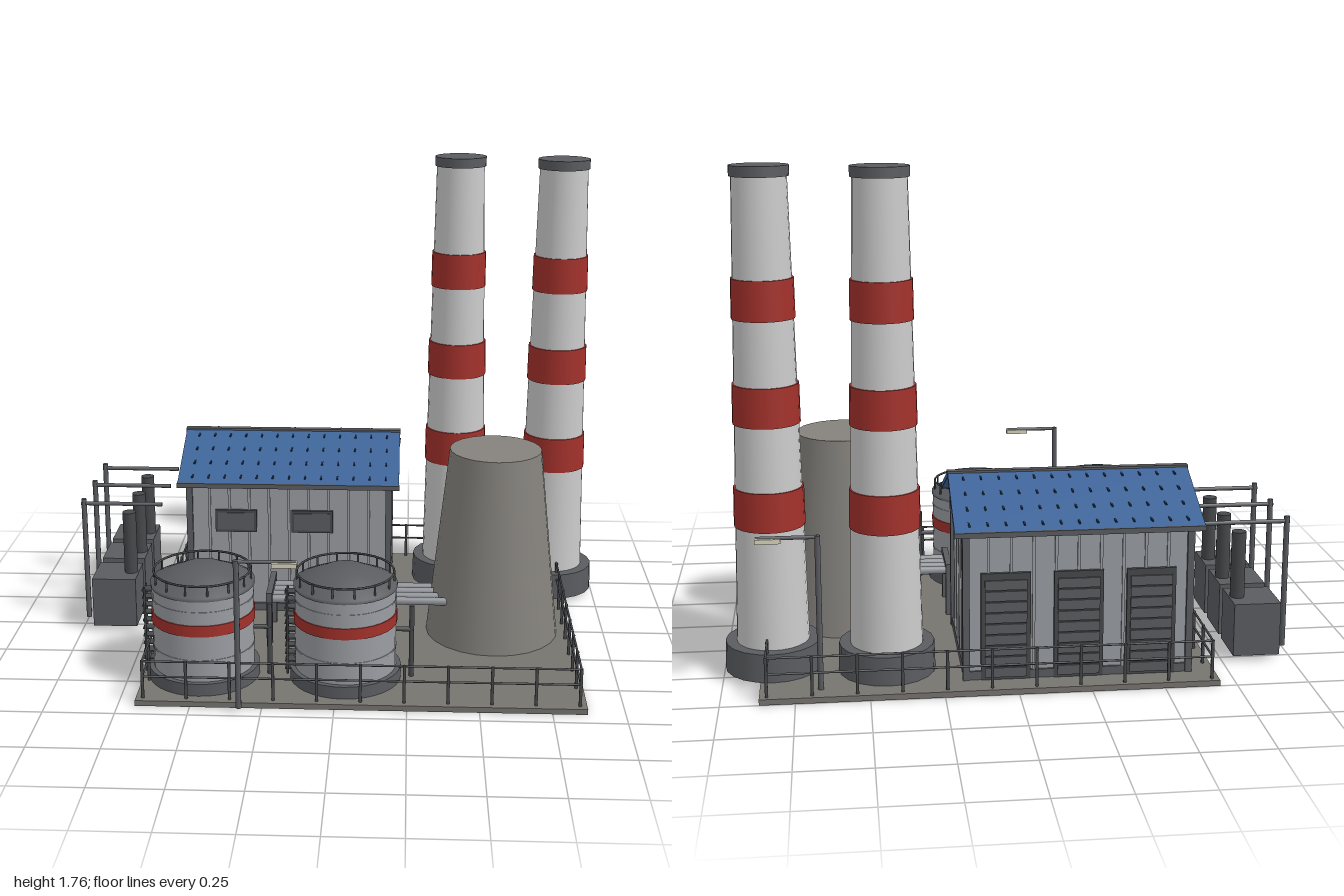
import * as THREE from 'three';

const mat = (color, flatShading = false) => new THREE.MeshStandardMaterial({ color, flatShading });
const M = {
  light: mat(0xcccccc), wall: mat(0x9a9da2), concrete: mat(0x85827d), slab: mat(0x77746f),
  dark: mat(0x5a5c60), steel: mat(0x46484b), pipe: mat(0x8d9096), red: mat(0xa3312b),
  blue: mat(0x3d6499), seam: mat(0x22364f), lamp: mat(0xd8d4bc),
};
M.open = mat(0x5a5c60);
M.open.side = THREE.DoubleSide;

export function createModel() {
  const model = new THREE.Group();
  let parent = model;

  function add(name, geometry, material, x = 0, y = 0, z = 0) {
    const m = new THREE.Mesh(geometry, material);
    m.name = name;
    m.position.set(x, y, z);
    parent.add(m);
    return m;
  }
  // Box given by its limits on each axis
  const box = (name, material, x0, x1, y0, y1, z0, z1) =>
    add(name, new THREE.BoxGeometry(x1 - x0, y1 - y0, z1 - z0), material, (x0 + x1) / 2, (y0 + y1) / 2, (z0 + z1) / 2);
  // Upright cylinder or cone frustum from y0 to y1
  const column = (name, material, x, z, y0, y1, r0, r1 = r0, sides = 24) =>
    add(name, new THREE.CylinderGeometry(r1, r0, y1 - y0, sides), material, x, (y0 + y1) / 2, z);
  // Round bar between two points
  function bar(name, material, a, b, r) {
    const A = new THREE.Vector3(...a), B = new THREE.Vector3(...b), d = B.clone().sub(A);
    const m = add(name, new THREE.CylinderGeometry(r, r, d.length(), 8), material);
    m.position.copy(A).add(B).multiplyScalar(0.5);
    m.quaternion.setFromUnitVectors(new THREE.Vector3(0, 1, 0), d.normalize());
    return m;
  }
  function group(name, x, z, build) {
    const g = new THREE.Group();
    g.name = name;
    g.position.set(x, 0, z);
    model.add(g);
    parent = g;
    build();
    parent = model;
  }

  // Ground slab
  box('groundSlab', M.slab, -0.69, 0.87, 0, 0.02, -0.75, 0.69);

  // Perimeter railing
  group('perimeterRailing', 0, 0, () => {
    const x0 = -0.665, x1 = 0.845, z0 = -0.73, z1 = 0.665, n = 10;
    for (const y of [0.1, 0.157]) {
      for (const z of [z0, z1]) bar('rail', M.steel, [x0, y, z], [x1, y, z], 0.004);
      for (const x of [x0, x1]) bar('rail', M.steel, [x, y, z0], [x, y, z1], 0.004);
    }
    for (let i = 0; i <= n; i++) {
      const x = x0 + (x1 - x0) * i / n, z = z0 + (z1 - z0) * i / n;
      for (const e of [z0, z1]) column('railPost', M.steel, x, e, 0.02, 0.16, 0.006, 0.006, 6);
      if (i > 0 && i < n) for (const e of [x0, x1]) column('railPost', M.steel, e, z, 0.02, 0.16, 0.006, 0.006, 6);
    }
  });

  // Striped chimneys
  for (const [x, z] of [[0.436, -0.513], [0.828, -0.444]]) group('chimney', x, z, () => {
    column('chimneyBase', M.dark, 0, 0, 0.02, 0.12, 0.168, 0.165, 20);
    column('chimneyShaft', M.light, 0, 0, 0.12, 1.722, 0.126, 0.092);
    for (const [y, r] of [[0.535, 0.122], [0.893, 0.115], [1.25, 0.107]])
      column('redBand', M.red, 0, 0, y, y + 0.136, r, r - 0.002);
    column('chimneyCap', M.dark, 0, 0, 1.72, 1.756, 0.099);
  });

  // Cooling tower
  column('coolingTower', M.concrete, 0.57, 0.027, 0.02, 0.742, 0.249, 0.17, 24);

  // Storage tanks
  for (const x of [-0.476, 0.03]) group('storageTank', x, 0.45, () => {
    column('tankFoot', M.dark, 0, 0, 0.02, 0.065, 0.198, 0.198, 32);
    column('tankBody', M.wall, 0, 0, 0.065, 0.375, 0.18, 0.18, 32);
    column('tankBand', M.red, 0, 0, 0.235, 0.276, 0.184, 0.184, 32);
    for (const y of [0.14, 0.32]) column('tankHoop', M.wall, 0, 0, y, y + 0.006, 0.182, 0.182, 32);
    const roof = [[0.184, 0.365], [0.184, 0.378], [0.075, 0.428], [0, 0.43]];
    add('tankRoof', new THREE.LatheGeometry(roof.map(p => new THREE.Vector2(...p)), 32), M.open);
    const ring = add('roofRail', new THREE.TorusGeometry(0.172, 0.004, 6, 32), M.steel, 0, 0.418, 0);
    ring.rotation.x = Math.PI / 2;
    for (let i = 0; i < 14; i++) {
      const a = i / 14 * Math.PI * 2;
      column('roofRailPost', M.steel, 0.172 * Math.cos(a), 0.172 * Math.sin(a), 0.37, 0.42, 0.004, 0.004, 6);
    }
    // Ladder on the right, standpipe on the left
    for (const z of [-0.02, 0.02]) bar('ladderRail', M.steel, [-0.206, 0.03, z], [-0.206, 0.35, z], 0.004);
    for (let i = 0; i < 11; i++) box('ladderRung', M.steel, -0.215, -0.178, 0.045 + i * 0.029, 0.05 + i * 0.029, -0.02, 0.02);
    column('standPipe', M.steel, 0.235, 0, 0.02, 0.29, 0.009, 0.009, 8);
    bar('pipeBranch', M.steel, [0.17, 0.2, 0], [0.24, 0.2, 0], 0.009);
  });

  // Turbine hall
  group('hall', -0.213, -0.385, () => {
    const hw = 0.385, hd = 0.265, eave = 0.55, ridge = 0.68, rd = 0.305;
    const gable = new THREE.Shape([[-hd, 0.02], [hd, 0.02], [hd, eave], [0, ridge - 0.025], [-hd, eave]]
      .map(p => new THREE.Vector2(...p)));
    const walls = add('hallWalls', new THREE.ExtrudeGeometry(gable, { depth: 2 * hw, bevelEnabled: false }), M.wall, -hw);
    walls.rotation.y = Math.PI / 2;
    box('hallPlinth', M.dark, -hw - 0.008, hw + 0.008, 0.02, 0.05, -hd - 0.008, hd + 0.008);
    // Wall ribs and corner posts
    for (const s of [-1, 1]) {
      for (let i = 0; i <= 10; i++) {
        const x = -hw + i * hw / 5, z = -hd + i * hd / 5;
        box('wallRib', M.wall, x - 0.005, x + 0.005, 0.05, eave, s * hd - 0.006, s * hd + 0.006);
        if (i % 2 === 0) box('wallRib', M.wall, s * hw - 0.006, s * hw + 0.006, 0.05, eave, z - 0.005, z + 0.005);
      }
      for (const t of [-1, 1]) box('cornerPost', M.dark, s * hw - 0.012, s * hw + 0.012, 0.02, eave, t * hd - 0.012, t * hd + 0.012);
    }
    // Pitched roof with seams, gutters and ridge cap
    const angle = Math.atan2(ridge - eave, rd), len = Math.hypot(ridge - eave, rd);
    for (const s of [-1, 1]) {
      const panel = add('roofPanel', new THREE.BoxGeometry(0.85, 0.018, len), M.blue, 0, (ridge + eave) / 2 - 0.004, s * rd / 2);
      panel.rotation.x = s * angle;
      box('gutter', M.dark, -0.427, 0.427, eave - 0.012, eave + 0.006, s * rd - 0.01, s * rd + 0.01);
      for (let i = 0; i < 13; i++) for (let j = 0; j < 4; j++) {
        const x = -0.37 + i * 0.062, t = 0.14 + j * 0.25;
        const z = s * rd * t, y = ridge + (eave - ridge) * t + 0.009;
        box('roofSeam', M.seam, x - 0.003, x + 0.003, y - 0.003, y + 0.003, z - 0.02, z + 0.02);
      }
    }
    box('ridgeCap', M.dark, -0.427, 0.427, ridge - 0.008, ridge + 0.008, -0.013, 0.013);
    // Front windows
    for (const x of [-0.205, 0.09]) {
      box('windowFrame', M.steel, x - 0.08, x + 0.08, 0.348, 0.437, hd, hd + 0.012);
      box('windowPane', M.dark, x - 0.07, x + 0.07, 0.358, 0.427, hd, hd + 0.015);
    }
    // Rear roller doors
    for (const x of [-0.25, 0, 0.25]) {
      box('doorFrame', M.steel, x - 0.085, x + 0.085, 0.02, 0.4, -hd - 0.012, -hd);
      for (let i = 0; i < 9; i++)
        box('doorSlat', M.dark, x - 0.072, x + 0.072, 0.03 + i * 0.039, 0.064 + i * 0.039, -hd - 0.018, -hd);
    }
  });

  // Transformers with stacks and line poles
  for (const z of [-0.455, -0.24, -0.022]) group('transformer', 0, z, () => {
    box('transformerBox', M.dark, -0.955, -0.788, 0.02, 0.212, -0.087, 0.087);
    column('transformerStack', M.steel, -0.818, 0, 0.21, 0.455, 0.026, 0.026, 16);
    column('linePole', M.dark, -0.99, 0, 0.02, 0.505, 0.01, 0.01, 10);
    bar('lineArm', M.dark, [-1, 0.487, 0], [-0.69, 0.487, 0], 0.008);
  });

  // Pipe run from the tower, on two trestles
  group('pipeRun', 0, 0, () => {
    for (const z of [0.022, 0.068, 0.114, 0.16]) bar('pipe', M.pipe, [-0.27, 0.185, z], [0.42, 0.185, z], 0.016);
    for (const x of [-0.265, 0.183]) {
      box('trestleBeam', M.dark, x - 0.011, x + 0.011, 0.2, 0.22, -0.02, 0.195);
      for (const z of [-0.01, 0.185]) box('trestlePost', M.dark, x - 0.011, x + 0.011, 0.02, 0.21, z - 0.01, z + 0.01);
    }
  });

  // Street lamps
  for (const [x, z] of [[-0.325, 0.727], [0.665, -0.68]]) group('streetLamp', x, z, () => {
    column('lampPost', M.dark, 0, 0, 0.02, 0.56, 0.01, 0.01, 10);
    bar('lampArm', M.dark, [0, 0.555, 0], [0.2, 0.555, 0], 0.007);
    box('lampHead', M.lamp, 0.12, 0.205, 0.54, 0.556, -0.018, 0.018);
  });

  return model;
}
